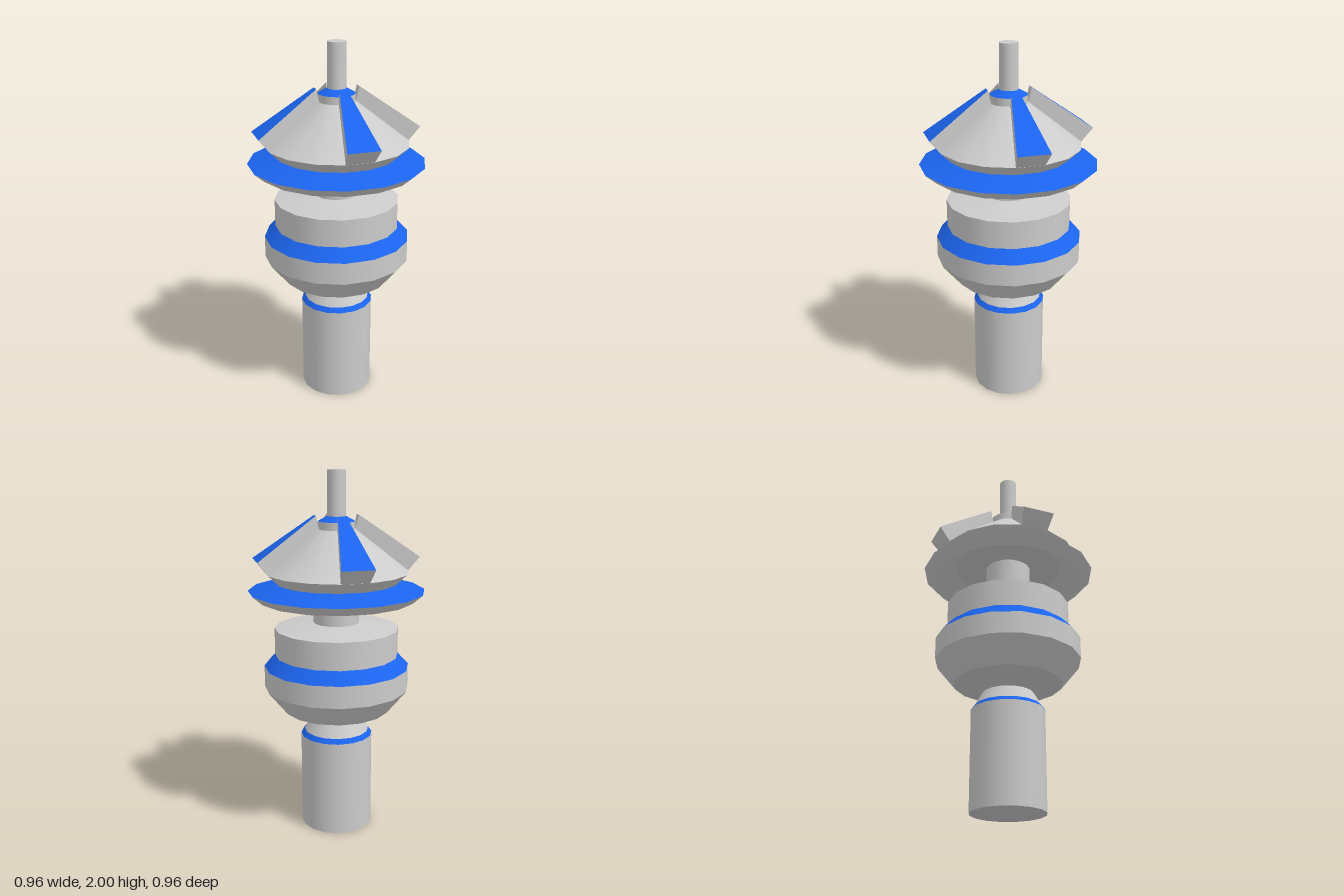
import * as THREE from 'three';
import { mergeGeometries } from 'three/addons/utils/BufferGeometryUtils.js';

const SIDES = 16;
const grey = new THREE.MeshStandardMaterial({ color: 0xcccccc });
const blue = new THREE.MeshStandardMaterial({ color: 0x1b64ee });

// Turned part: smooth around the axis, a hard edge at every profile point.
// Profiles run from bottom to top as [radius, height].
function turned(name, profile, material = grey) {
  const bands = [];
  for (let i = 0; i + 1 < profile.length; i++) {
    const pair = [profile[i], profile[i + 1]].map(([r, y]) => new THREE.Vector2(r, y));
    bands.push(new THREE.LatheGeometry(pair, SIDES));
  }
  const mesh = new THREE.Mesh(mergeGeometries(bands), material);
  mesh.name = name;
  return mesh;
}

// Flat four-sided faces, corners counter-clockwise seen from outside.
function quads(name, faces, material) {
  const pos = [];
  for (const [a, b, c, d] of faces) for (const p of [a, b, c, a, c, d]) pos.push(...p);
  const geo = new THREE.BufferGeometry();
  geo.setAttribute('position', new THREE.Float32BufferAttribute(pos, 3));
  geo.computeVertexNormals();
  const mesh = new THREE.Mesh(geo, material);
  mesh.name = name;
  return mesh;
}

// Wedge one lathe segment wide, raised square off the cone.
function vane() {
  const at = (r, y, k) => {
    const a = (k * Math.PI * 2) / SIDES;
    return [r * Math.sin(a), y, r * Math.cos(a)];
  };
  const edge = (k) => ({
    topIn: at(0.12, 1.765, k), topOut: at(0.45, 1.54, k),
    lowOut: at(0.385, 1.46, k), lowIn: at(0.1, 1.685, k),
  });
  const L = edge(0), R = edge(1);
  const group = new THREE.Group();
  group.name = 'vane';
  group.add(
    quads('vaneTop', [[L.topIn, L.topOut, R.topOut, R.topIn]], blue),
    quads('vaneSides', [
      [L.topOut, L.lowOut, R.lowOut, R.topOut],
      [L.topIn, L.lowIn, L.lowOut, L.topOut],
      [R.topOut, R.lowOut, R.lowIn, R.topIn],
      [R.topIn, R.lowIn, L.lowIn, L.topIn],
      [L.lowOut, L.lowIn, R.lowIn, R.lowOut],
    ], grey),
  );
  return group;
}

export function createModel() {
  const model = new THREE.Group();
  model.name = 'spindle';

  model.add(
    // Shaft and tapered collar
    turned('shaft', [[0, 0], [0.2, 0], [0.2, 0.54]]),
    turned('shaftBand', [[0.2, 0.54], [0.18, 0.565]], blue),
    turned('collar', [[0.18, 0.565], [0.14, 0.637]]),
    // Bulb body
    turned('body', [[0.14, 0.637], [0.295, 0.69], [0.4, 0.82], [0.4, 0.94]]),
    turned('bodyBand', [[0.4, 0.94], [0.34, 1.005]], blue),
    turned('drum', [[0.34, 1.005], [0.34, 1.155], [0.125, 1.185]]),
    turned('neck', [[0.125, 1.185], [0.125, 1.4]]),
    // Hollow-bottomed skirt with coloured upper face
    turned('skirt', [[0.125, 1.4], [0.3, 1.4], [0.425, 1.315], [0.48, 1.363]]),
    turned('skirtTop', [[0.48, 1.363], [0.33, 1.407]], blue),
    // Cone head and hub
    turned('cone', [[0.33, 1.407], [0.39, 1.465], [0.1, 1.692], [0.1, 1.733]]),
    turned('hubTop', [[0.1, 1.733], [0.05, 1.76]], blue),
    turned('rod', [[0.05, 1.76], [0.05, 2], [0, 2]]),
  );

  // Four vanes around the cone
  for (let i = 0; i < 4; i++) {
    const v = vane();
    v.rotation.y = (i * Math.PI) / 2;
    model.add(v);
  }
  return model;
}
